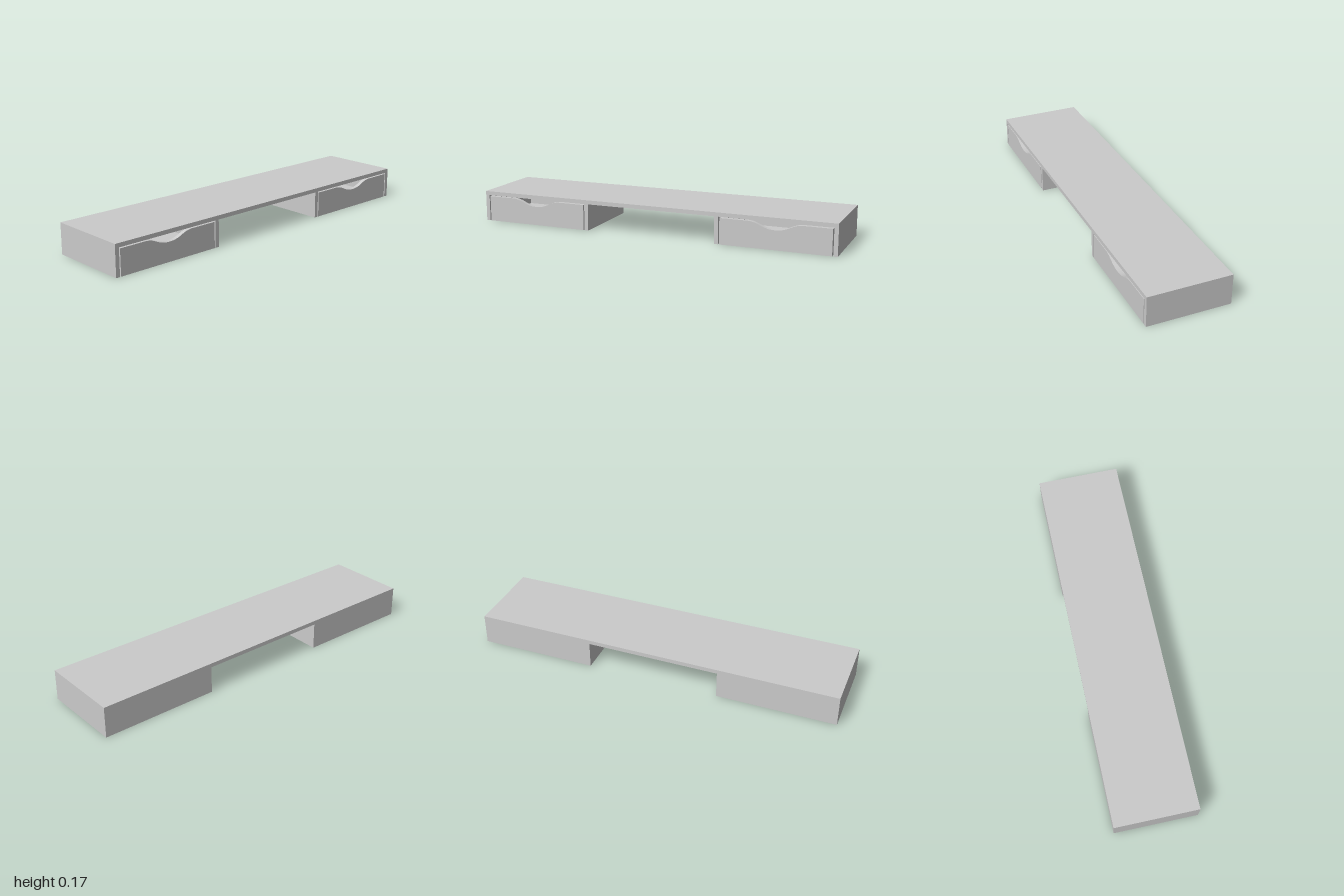
import * as THREE from 'three';

const H = 0.167, W = 0.448, T = 0.022, GAP = 0.006;
const Z_IN = 0.36, Z_OUT = 1, MID = (Z_IN + Z_OUT) / 2;
const material = new THREE.MeshStandardMaterial({ color: 0xcccccc });

// Box given by its minimum and maximum corners
function box(parent, name, [x0, y0, z0], [x1, y1, z1]) {
  const mesh = new THREE.Mesh(new THREE.BoxGeometry(x1 - x0, y1 - y0, z1 - z0), material);
  mesh.position.set((x0 + x1) / 2, (y0 + y1) / 2, (z0 + z1) / 2);
  mesh.name = name;
  parent.add(mesh);
}

// Drawer front: a panel with a soft curved finger notch in its top edge
function drawerFront(halfWidth, height, thickness) {
  const s = new THREE.Shape();
  const top = height, low = height - 0.036;
  s.moveTo(-halfWidth, 0);
  s.lineTo(halfWidth, 0);
  s.lineTo(halfWidth, top);
  s.lineTo(0.14, top);
  s.bezierCurveTo(0.08, top - 0.004, 0.07, low, 0, low);
  s.bezierCurveTo(-0.07, low, -0.08, top - 0.004, -0.14, top);
  s.lineTo(-halfWidth, top);
  s.closePath();
  const geo = new THREE.ExtrudeGeometry(s, { depth: thickness, bevelEnabled: false, curveSegments: 12 });
  geo.rotateY(Math.PI / 2);
  return new THREE.Mesh(geo, material);
}

// Drawer centred on z = 0, opening towards +x
function drawer() {
  const g = new THREE.Group();
  const hw = (Z_OUT - Z_IN) / 2 - T - GAP;
  const h = H - T - GAP, back = -W / 2 + T + 0.003, front = W / 2 - T, t = 0.018;
  const face = drawerFront(hw, h, T);
  face.position.x = front;
  face.name = 'drawerFront';
  g.add(face);
  box(g, 'drawerBottom', [back, 0, -hw], [front, t, hw]);
  box(g, 'drawerBack', [back, t, -hw], [back + t, h, hw]);
  for (const s of [-1, 1]) {
    const a = s * hw, b = s * (hw - t);
    box(g, 'drawerSide', [back + t, t, Math.min(a, b)], [front, h, Math.max(a, b)]);
  }
  return g;
}

// Open-bottomed cabinet: two side walls and a back wall
function cabinet() {
  const g = new THREE.Group();
  const hz = (Z_OUT - Z_IN) / 2, top = H - T, x = W / 2;
  box(g, 'cabinetSide', [-x, 0, -hz], [x, top, -hz + T]);
  box(g, 'cabinetSide', [-x, 0, hz - T], [x, top, hz]);
  box(g, 'cabinetBack', [-x, 0, -hz + T], [-x + T, top, hz - T]);
  return g;
}

export function createModel() {
  const model = new THREE.Group();
  model.name = 'floatingDesk';
  // Long top board
  box(model, 'topBoard', [-W / 2, H - T, -Z_OUT], [W / 2, H, Z_OUT]);
  // A cabinet with its drawer at each end
  for (const side of [1, -1]) {
    const unit = new THREE.Group();
    unit.name = side > 0 ? 'frontUnit' : 'backUnit';
    const c = cabinet(), d = drawer();
    c.name = 'cabinet';
    d.name = 'drawer';
    unit.add(c, d);
    unit.position.z = side * MID;
    model.add(unit);
  }
  return model;
}
